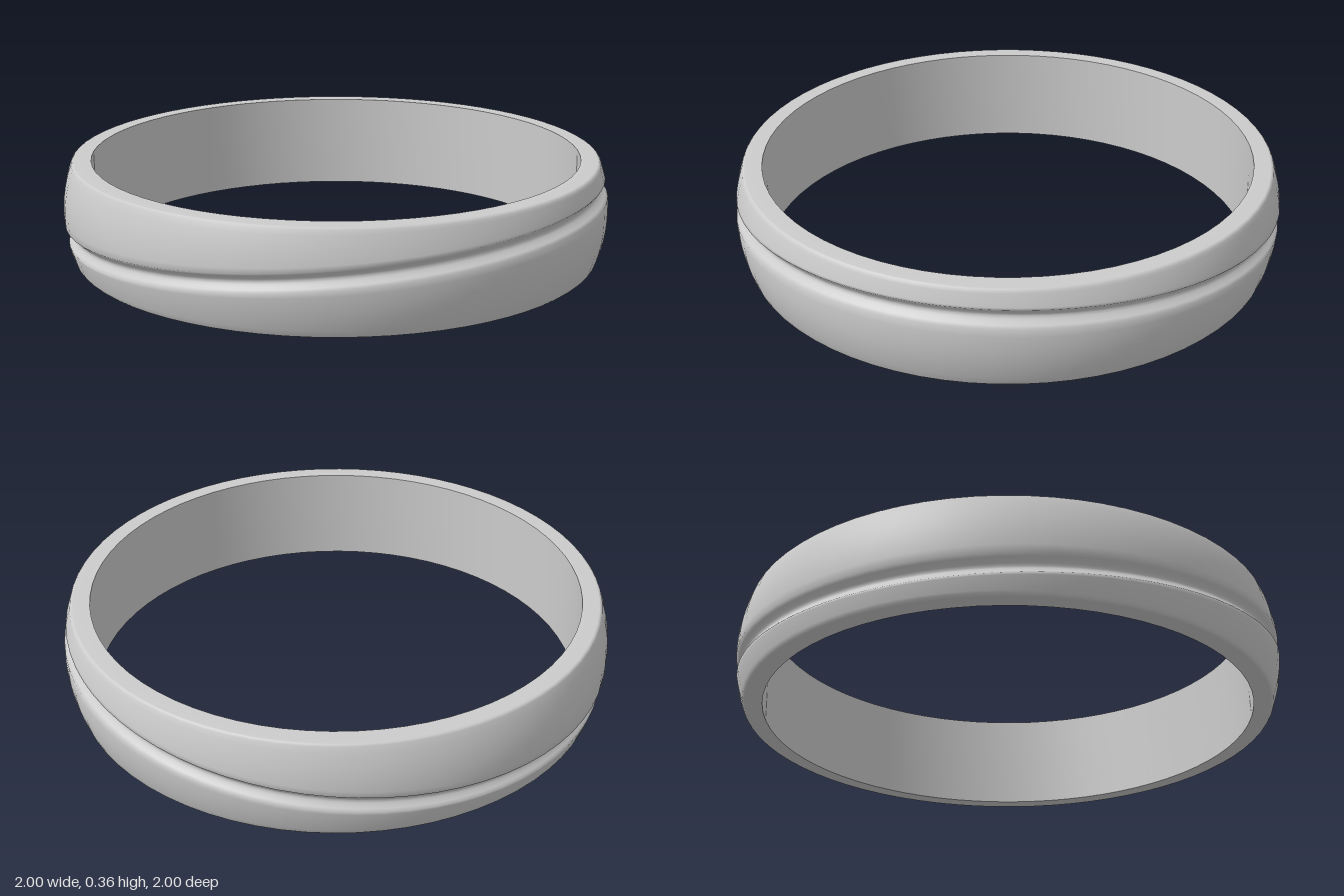
import * as THREE from 'three';
import { ParametricGeometry } from 'three/addons/geometries/ParametricGeometry.js';
import { mergeVertices } from 'three/addons/utils/BufferGeometryUtils.js';

const H = 0.364, MID = H / 2;
const INNER = 0.895, BULGE = 0.036;
const TILT = 0.087, HALF_GROOVE = 0.032, DEPTH = 0.027;
const SOFT = 0.008; // softened rim edge
const SEGMENTS = 72, FACE_ROWS = 8, GROOVE_ROWS = 8;

// Radius of the slightly domed outer face at height y
const outerRadius = (y) => 1 - BULGE * ((y - MID) / MID) ** 2;
const RIM = outerRadius(0);

// Cross-section [radius, y] of the outside, from bottom rim to top rim
function outerProfile(angle) {
  const grooveY = MID + TILT * Math.sin(angle);
  const points = [[INNER, 0], [RIM - SOFT, 0], [RIM - SOFT * 0.25, SOFT * 0.3]];
  const addFace = (from, to) => {
    for (let i = 0; i <= FACE_ROWS; i++) {
      const y = THREE.MathUtils.lerp(from, to, i / FACE_ROWS);
      points.push([outerRadius(y), y]);
    }
  };
  addFace(SOFT, grooveY - HALF_GROOVE);
  // Tilted groove with a soft V section
  for (let i = 1; i < GROOVE_ROWS; i++) {
    const t = (2 * i) / GROOVE_ROWS - 1;
    const y = grooveY + t * HALF_GROOVE;
    points.push([outerRadius(y) - DEPTH * (1 - Math.abs(t) ** 1.5), y]);
  }
  addFace(grooveY + HALF_GROOVE, H - SOFT);
  points.push([RIM - SOFT * 0.25, H - SOFT * 0.3], [RIM - SOFT, H], [INNER, H]);
  return points;
}

// Straight inner wall, from top to bottom
const innerProfile = () => [[INNER, H], [INNER, 0]];

// Sweeps a profile once around the vertical axis, with smooth normals
function sweep(name, profile, material) {
  const rows = profile(0).length - 1;
  const swept = new ParametricGeometry((u, v, target) => {
    const angle = u * Math.PI * 2;
    const [r, y] = profile(angle)[Math.round(v * rows)];
    target.set(r * Math.sin(angle), y, r * Math.cos(angle));
  }, SEGMENTS, rows);
  swept.deleteAttribute('normal');
  swept.deleteAttribute('uv');
  const geometry = mergeVertices(swept);
  geometry.computeVertexNormals();
  const mesh = new THREE.Mesh(geometry, material);
  mesh.name = name;
  return mesh;
}

export function createModel() {
  const group = new THREE.Group();
  group.name = 'ring';
  const material = new THREE.MeshStandardMaterial({ color: 0xf4f5f6 });
  group.add(
    sweep('outerBand', outerProfile, material),
    sweep('innerWall', innerProfile, material),
  );
  return group;
}
